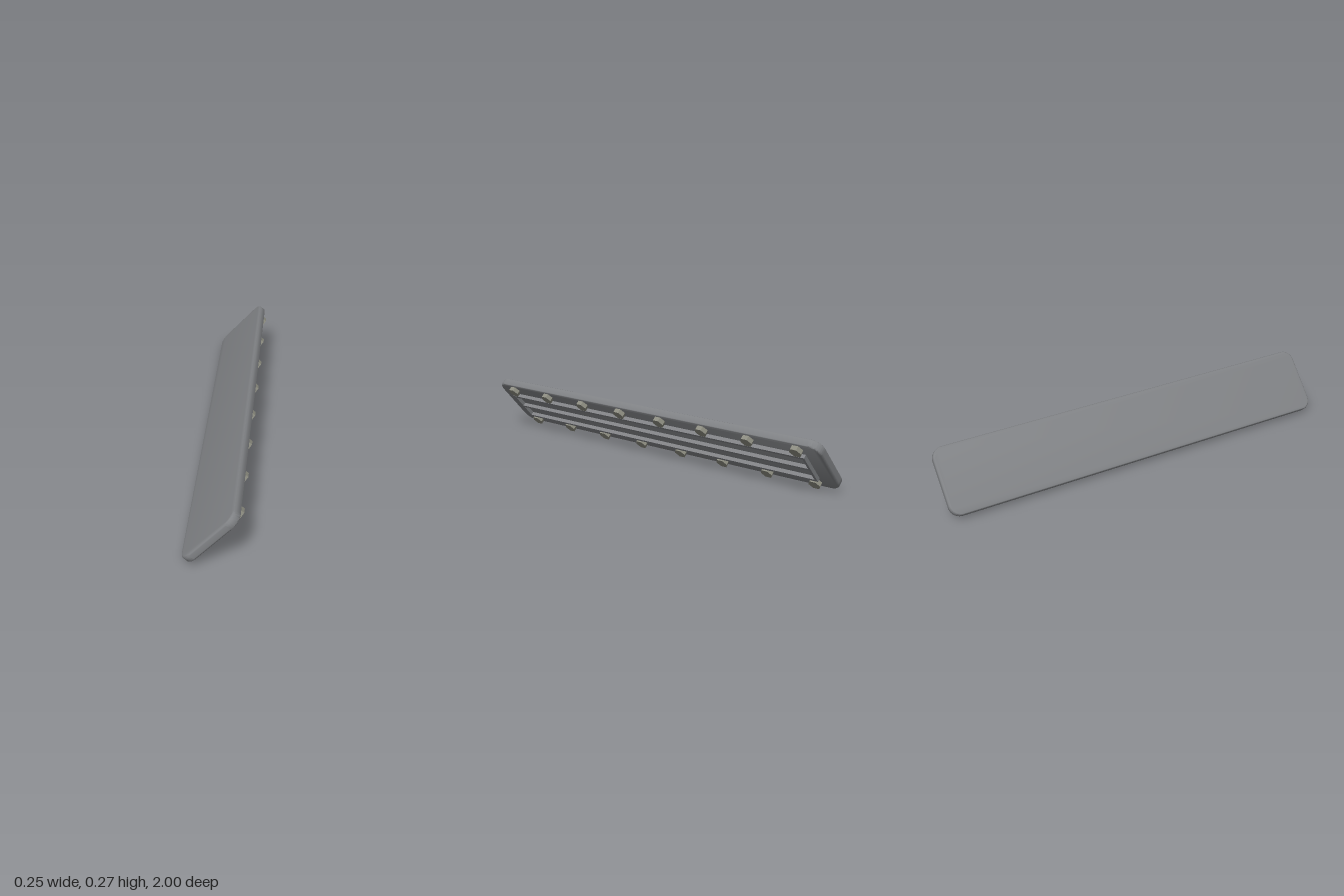
import * as THREE from 'three';
import { toCreasedNormals } from 'three/addons/utils/BufferGeometryUtils.js';

const TILT = THREE.MathUtils.degToRad(47.5);
const MID = 0.1;          // centre of the plate across its width
const UNDER = 0.079;      // height of the plate's underside
const THICK = 0.041;

function roundedRect(w, l, r) {
  const s = new THREE.Shape();
  const x = w / 2, y = l / 2;
  s.absarc(x - r, y - r, r, 0, Math.PI / 2);
  s.absarc(-x + r, y - r, r, Math.PI / 2, Math.PI);
  s.absarc(-x + r, -y + r, r, Math.PI, Math.PI * 1.5);
  s.absarc(x - r, -y + r, r, Math.PI * 1.5, Math.PI * 2);
  s.closePath();
  return s;
}

export function createModel() {
  const model = new THREE.Group();
  model.name = 'armourPlate';
  const steel = new THREE.MeshStandardMaterial({ color: 0x808285 });
  const boltSteel = new THREE.MeshStandardMaterial({ color: 0x8c8c80 });

  // everything is built lying flat, then tilted sideways
  const tilted = new THREE.Group();
  tilted.name = 'tiltedAssembly';
  tilted.rotation.z = TILT;
  tilted.position.y = -0.001;
  model.add(tilted);

  const add = (parent, name, geometry, material, x, y, z) => {
    const mesh = new THREE.Mesh(geometry, material);
    mesh.name = name;
    mesh.position.set(x, y, z);
    parent.add(mesh);
  };

  // plate with rounded corners and softened rims
  const b = 0.01;
  const plate = new THREE.ExtrudeGeometry(roundedRect(0.326 - 2 * b, 2 - 2 * b, 0.045), {
    depth: THICK - 2 * b, bevelEnabled: true, bevelSize: b, bevelThickness: b,
    bevelSegments: 4, curveSegments: 8,
  });
  plate.translate(0, 0, b).rotateX(-Math.PI / 2);
  add(tilted, 'plate', toCreasedNormals(plate, 0.6), steel, MID, UNDER, 0);

  // thin ribs under the plate: three long ones closed by one at each end
  const ribs = new THREE.Group();
  ribs.name = 'ribs';
  tilted.add(ribs);
  const ribT = 0.013, ribH = 0.021, ribW = 0.182, ribL = 1.83;
  const ribY = UNDER + 0.002 - ribH / 2;
  for (const k of [-1, 0, 1]) {
    add(ribs, 'longRib', new THREE.BoxGeometry(ribT, ribH, ribL), steel,
      MID + k * (ribW - ribT) / 2, ribY, 0);
  }
  for (const k of [-1, 1]) {
    add(ribs, 'endRib', new THREE.BoxGeometry(ribW - ribT, ribH, ribT), steel,
      MID, ribY, k * (ribL - ribT) / 2);
  }

  // two rows of hexagonal bolt heads, corners pointing along the plate
  const bolts = new THREE.Group();
  bolts.name = 'bolts';
  tilted.add(bolts);
  const head = toCreasedNormals(new THREE.CylinderGeometry(0.03, 0.03, 0.024, 6), 0.5);
  for (const side of [-1, 1]) {
    for (let i = 0; i < 8; i++) {
      add(bolts, 'boltHead', head, boltSteel,
        MID + side * 0.124, UNDER - 0.01, -0.885 + (i * 1.77) / 7);
    }
  }
  return model;
}
